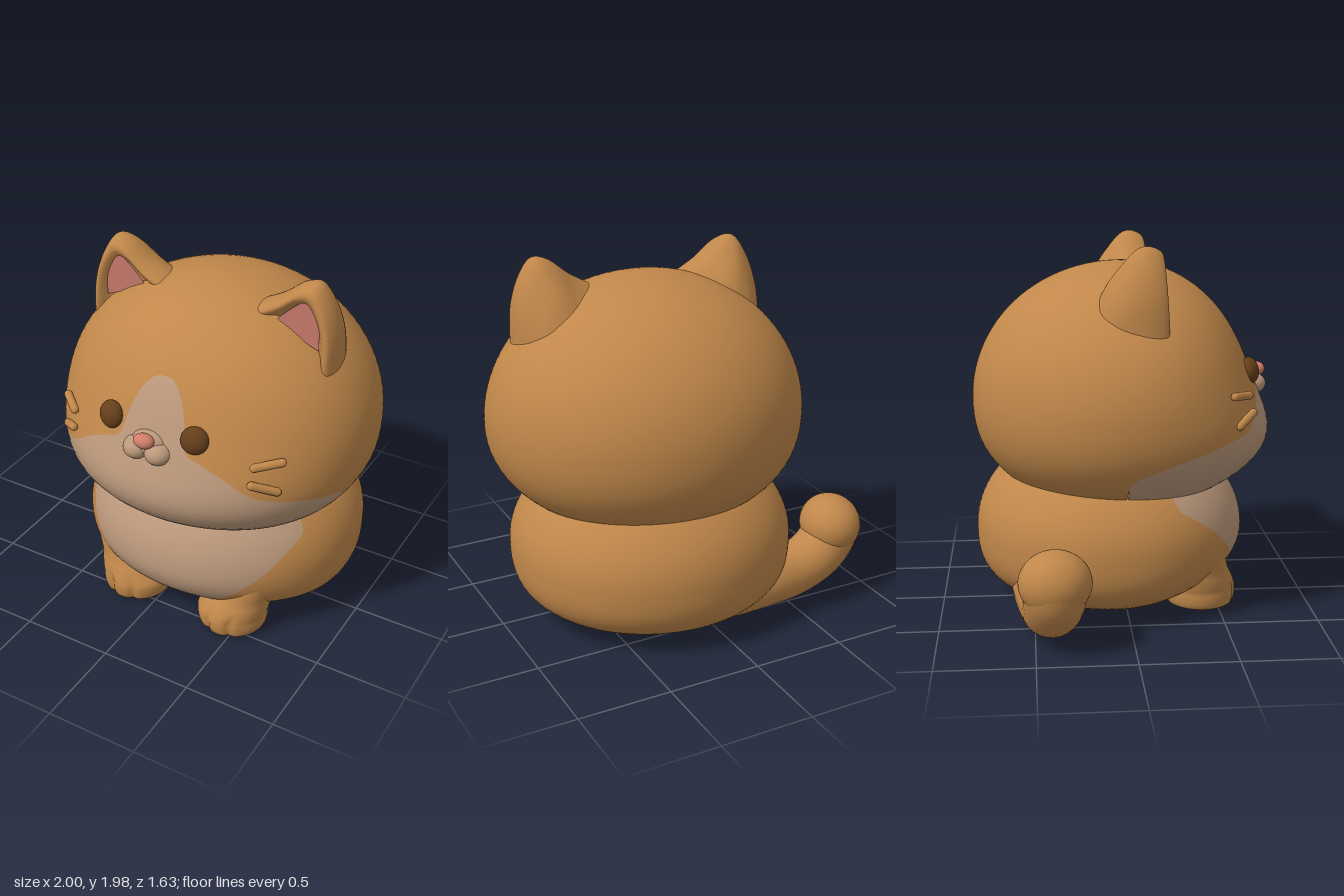
import * as THREE from 'three';

const mat = (name, color, side = THREE.FrontSide) => {
  const m = new THREE.MeshStandardMaterial({ color, side });
  m.name = name;
  return m;
};
const CX = 0.14; // the cat sits off centre because of the tail
const COLS = 320, ROWS = 48, STEP = 2 * Math.PI / COLS;

// Rounded blob: t is the angle around y (0 = front), v runs from bottom to top
function blob({ yc, up, down, nSide, nFront, rx, front, back, zc, bulge }) {
  const point = (t, y) => {
    const s = Math.min(1, Math.abs(y - yc) / (y > yc ? up : down));
    const radius = (n) => Math.pow(Math.max(0, 1 - Math.pow(s, n)), 1 / n);
    const r = radius(y > yc ? 2 : nSide), rf = radius(y > yc ? 2 : nFront), c = Math.cos(t);
    const z = c > 0 ? Math.pow(c, 0.94) * (front * rf + bulge(y) * Math.min(1, rf * 2)) : c * back * r;
    return new THREE.Vector3(rx * r * Math.sin(t), y, zc + z);
  };
  const yMin = yc - down, yMax = yc + up;
  const toV = (y) => Math.acos(THREE.MathUtils.clamp(1 - 2 * (y - yMin) / (yMax - yMin), -1, 1)) / Math.PI;
  const toY = (v) => yMin + (yMax - yMin) * (1 - Math.cos(Math.PI * v)) / 2;
  return { toV, at: (t, v) => point(t, toY(v)) };
}

// Patch of a blob, a number of columns either side of the front, clipped between two height limits
function patch(b, halfCols, lo, hi, material, name) {
  const pos = [], nor = [], idx = [], e = 0.004;
  for (let i = 0; i <= 2 * halfCols; i++) {
    const t = (i - halfCols) * STEP, a = lo(t), h = hi(t);
    for (let j = 0; j <= ROWS; j++) {
      const v = THREE.MathUtils.clamp(j / ROWS, a, h), w = THREE.MathUtils.clamp(v, 0.012, 0.988);
      pos.push(...b.at(t, v).toArray());
      const du = b.at(t + e, w).sub(b.at(t - e, w)), dv = b.at(t, w + e).sub(b.at(t, w - e));
      nor.push(...du.cross(dv).normalize().toArray());
      if (i < 2 * halfCols && j < ROWS) {
        const k = i * (ROWS + 1) + j, m = k + ROWS + 1;
        idx.push(k, m, k + 1, m, m + 1, k + 1);
      }
    }
  }
  const g = new THREE.BufferGeometry();
  g.setAttribute('position', new THREE.Float32BufferAttribute(pos, 3));
  g.setAttribute('normal', new THREE.Float32BufferAttribute(nor, 3));
  g.setIndex(idx);
  const mesh = new THREE.Mesh(g, material);
  mesh.name = name;
  return mesh;
}

// Colour border: height as a smooth function of |angle|
function border(b, pts) {
  const c = new THREE.SplineCurve(pts.map(([t, y]) => new THREE.Vector2(t, y))).getPoints(160);
  return (angle) => {
    const t = Math.abs(angle);
    const i = c.findIndex((p) => p.x >= t);
    if (i <= 0) return b.toV(c[i < 0 ? c.length - 1 : 0].y);
    const k = (t - c[i - 1].x) / (c[i].x - c[i - 1].x || 1);
    return b.toV(c[i - 1].y + (c[i].y - c[i - 1].y) * k);
  };
}

// Tube along a path whose radius follows a rule
function taperedTube(points, radius, segs, sides) {
  const curve = new THREE.CatmullRomCurve3(points.map((p) => new THREE.Vector3(...p)));
  const g = new THREE.TubeGeometry(curve, segs, 1, sides);
  const p = g.attributes.position, v = new THREE.Vector3();
  for (let i = 0; i <= segs; i++) {
    const c = curve.getPointAt(i / segs);
    for (let j = 0; j <= sides; j++) {
      const k = i * (sides + 1) + j;
      v.fromBufferAttribute(p, k).sub(c).multiplyScalar(radius(i / segs)).add(c);
      p.setXYZ(k, v.x, v.y, v.z);
    }
  }
  g.computeVertexNormals();
  return g;
}

// Front leg and paw in one: a leaning lathe with two grooves between the toes
function legGeometry() {
  const profile = new THREE.SplineCurve([[0.15, 0.01], [0.18, 0.025], [0.192, 0.07], [0.19, 0.12], [0.175, 0.175],
    [0.155, 0.23], [0.142, 0.31], [0.125, 0.39], [0.07, 0.45], [0, 0.47]].map(([r, y]) => new THREE.Vector2(r, y)));
  const g = new THREE.LatheGeometry([new THREE.Vector2(0, 0.01), ...profile.getPoints(40)], 72, Math.PI);
  const p = g.attributes.position;
  for (let i = 0; i < p.count; i++) {
    const x = p.getX(i), y = p.getY(i), z = p.getZ(i), a = Math.abs(Math.atan2(x, z));
    const low = 1 - THREE.MathUtils.smoothstep(y, 0.09, 0.19);
    const k = 1 - 0.09 * low * Math.exp(-Math.pow((a - 0.36) / 0.1, 2));
    const lean = Math.max(0, y - 0.11);
    p.setXYZ(i, 0.305 + x * k + 0.48 * lean, y, 0.41 + z * k - 0.1 * lean);
  }
  g.computeVertexNormals();
  return g;
}

// Ear shell: rounded rim, shallow cup in front, swollen back
function earGeometry() {
  const outline = new THREE.CatmullRomCurve3([[0.23, 1.79], [0.38, 1.875], [0.5, 1.965], [0.575, 1.978],
    [0.64, 1.895], [0.69, 1.74], [0.7, 1.5]].map(([x, y]) => new THREE.Vector3(x, y, 0)));
  const profile = new THREE.SplineCurve([[0, 0.05], [0.4, 0.055], [0.58, 0.065], [0.68, 0.085], [0.76, 0.125],
    [0.84, 0.15], [0.92, 0.135], [0.98, 0.075], [1, 0], [0.95, -0.09], [0.8, -0.17], [0.5, -0.25], [0, -0.28]]
    .map(([a, z]) => new THREE.Vector2(a, z)));
  const n = 48, m = 36, bx = 0.44, by = 1.6, pos = [], idx = [];
  const line = profile.getPoints(m);
  for (let i = 0; i <= n; i++) {
    const o = outline.getPoint(i / n);
    line.forEach((q, j) => {
      const y = by + (o.y - by) * q.x, k = THREE.MathUtils.clamp((y - 1.6) / 0.38, 0, 1);
      pos.push(bx + (o.x - bx) * q.x, y, 0.08 + q.y * (q.y > 0 ? 0.75 - 0.15 * k : 1 - 0.5 * k));
      if (i < n && j < m) {
        const a = i * (m + 1) + j, b = a + m + 1;
        idx.push(a, b, a + 1, b, b + 1, a + 1);
      }
    });
  }
  const g = new THREE.BufferGeometry();
  g.setAttribute('position', new THREE.Float32BufferAttribute(pos, 3));
  g.setIndex(idx);
  g.computeVertexNormals();
  return g;
}

export function createModel() {
  const fur = mat('orange fur', 0xc0874a);
  const cream = mat('cream fur', 0xbb987b);
  const brown = mat('dark brown eye', 0x653f1a);
  const pink = mat('pink nose', 0xcf7d68);
  const earPink = mat('inner ear pink', 0xc4786a, THREE.DoubleSide);

  const root = new THREE.Group();
  const cat = new THREE.Group();
  cat.name = 'cat';
  cat.position.x = CX;
  root.add(cat);
  const add = (parent, name, geo, m, p = [0, 0, 0], s = [1, 1, 1], r = [0, 0, 0]) => {
    const mesh = new THREE.Mesh(geo, m);
    mesh.name = name;
    mesh.position.set(...p);
    mesh.scale.set(...s);
    mesh.rotation.set(...r);
    parent.add(mesh);
  };
  const ball = new THREE.SphereGeometry(1, 32, 24);
  const zero = () => 0, one = () => 1;

  // Head with cream muzzle and blaze
  const head = blob({
    yc: 1.12, up: 0.74, down: 0.58, nSide: 2.35, nFront: 2.2, rx: 0.86, front: 0.7, back: 0.82, zc: 0,
    bulge: (y) => 0.14 * Math.exp(-Math.pow((y - 0.88) / 0.2, 2) / 2),
  });
  const muzzleTop = border(head, [[0, 1.54], [0.06, 1.535], [0.11, 1.505], [0.15, 1.46], [0.183, 1.39],
    [0.203, 1.31], [0.228, 1.22], [0.335, 1.18], [0.485, 1.12], [0.655, 1.04], [0.85, 1.0], [1.05, 0.97],
    [1.33, 0.91], [1.53, 0.84], [1.58, 0.79], [1.6, 0.74], [1.61, 0.54]]);
  cat.add(patch(head, 84, zero, muzzleTop, cream, 'muzzle'));
  cat.add(patch(head, COLS / 2, muzzleTop, one, fur, 'head'));

  // Body with cream bib
  const body = blob({
    yc: 0.4, up: 0.55, down: 0.39, nSide: 3, nFront: 2, rx: 0.775, front: 0.74, back: 0.74, zc: -0.07, bulge: zero,
  });
  const bibBottom = border(body, [[0, 0.09], [0.06, 0.095], [0.17, 0.13], [0.445, 0.27], [0.7, 0.42], [0.875, 0.52],
    [1.0, 0.58], [1.07, 0.605], [1.105, 0.64], [1.12, 0.72], [1.13, 0.95]]);
  cat.add(patch(body, 59, bibBottom, one, cream, 'bib'));
  cat.add(patch(body, COLS / 2, zero, bibBottom, fur, 'body'));

  // Inner ear triangle
  const innerShape = new THREE.Shape();
  innerShape.moveTo(0.385, 1.765);
  innerShape.quadraticCurveTo(0.46, 1.85, 0.54, 1.905);
  innerShape.quadraticCurveTo(0.595, 1.89, 0.61, 1.8);
  innerShape.lineTo(0.615, 1.645);
  innerShape.quadraticCurveTo(0.5, 1.685, 0.385, 1.765);
  const innerEar = new THREE.ShapeGeometry(innerShape, 10);

  // The face sits a touch towards the cat's right
  const face = new THREE.Group();
  face.name = 'face';
  face.position.x = -0.02;
  cat.add(face);

  // Paired parts: built on the left, mirrored to the right
  const ear = earGeometry(), leg = legGeometry();
  const whisker = new THREE.CapsuleGeometry(0.022, 0.14, 6, 12);
  for (const side of [1, -1]) {
    const half = new THREE.Group();
    half.name = side > 0 ? 'leftSide' : 'rightSide';
    half.scale.x = side;
    cat.add(half);
    add(half, 'ear', ear, fur);
    add(half, 'innerEar', innerEar, earPink, [0, 0, 0.155]);
    add(half, 'upperWhisker', whisker, fur, [0.575, 1.215, 0.58], [1, 1, 1], [0, 0.72, Math.PI / 2 + 0.1]);
    add(half, 'lowerWhisker', whisker, fur, [0.57, 1.09, 0.605], [1, 1, 1], [0, 0.72, Math.PI / 2 - 0.38]);
    add(half, 'frontLeg', leg, fur);

    const cheek = new THREE.Group();
    cheek.name = side > 0 ? 'leftFace' : 'rightFace';
    cheek.scale.x = side;
    face.add(cheek);
    add(cheek, 'eye', ball, brown, [0.241, 1.292, 0.672], [0.072, 0.072, 0.048], [-0.22, 0.28, 0]);
    add(cheek, 'muzzlePuff', ball, cream, [0.062, 1.187, 0.715], [0.073, 0.06, 0.078]);
  }

  // Nose and the muzzle bridge behind it
  add(face, 'muzzleBridge', ball, cream, [0, 1.215, 0.695], [0.1, 0.075, 0.07]);
  add(face, 'nose', ball, pink, [0, 1.257, 0.755], [0.056, 0.038, 0.042]);

  // Tail sweeping out to the side and curling up
  const tail = [[-0.1, 0.15, -0.5], [-0.35, 0.15, -0.47], [-0.58, 0.157, -0.43], [-0.75, 0.225, -0.41],
    [-0.83, 0.32, -0.4], [-0.835, 0.375, -0.4]];
  add(root, 'tail', taperedTube(tail, (u) => 0.13 + 0.03 * u, 48, 28), fur);
  add(root, 'tailTip', ball, fur, [-0.832, 0.375, -0.4], [0.166, 0.166, 0.185]);
  return root;
}
